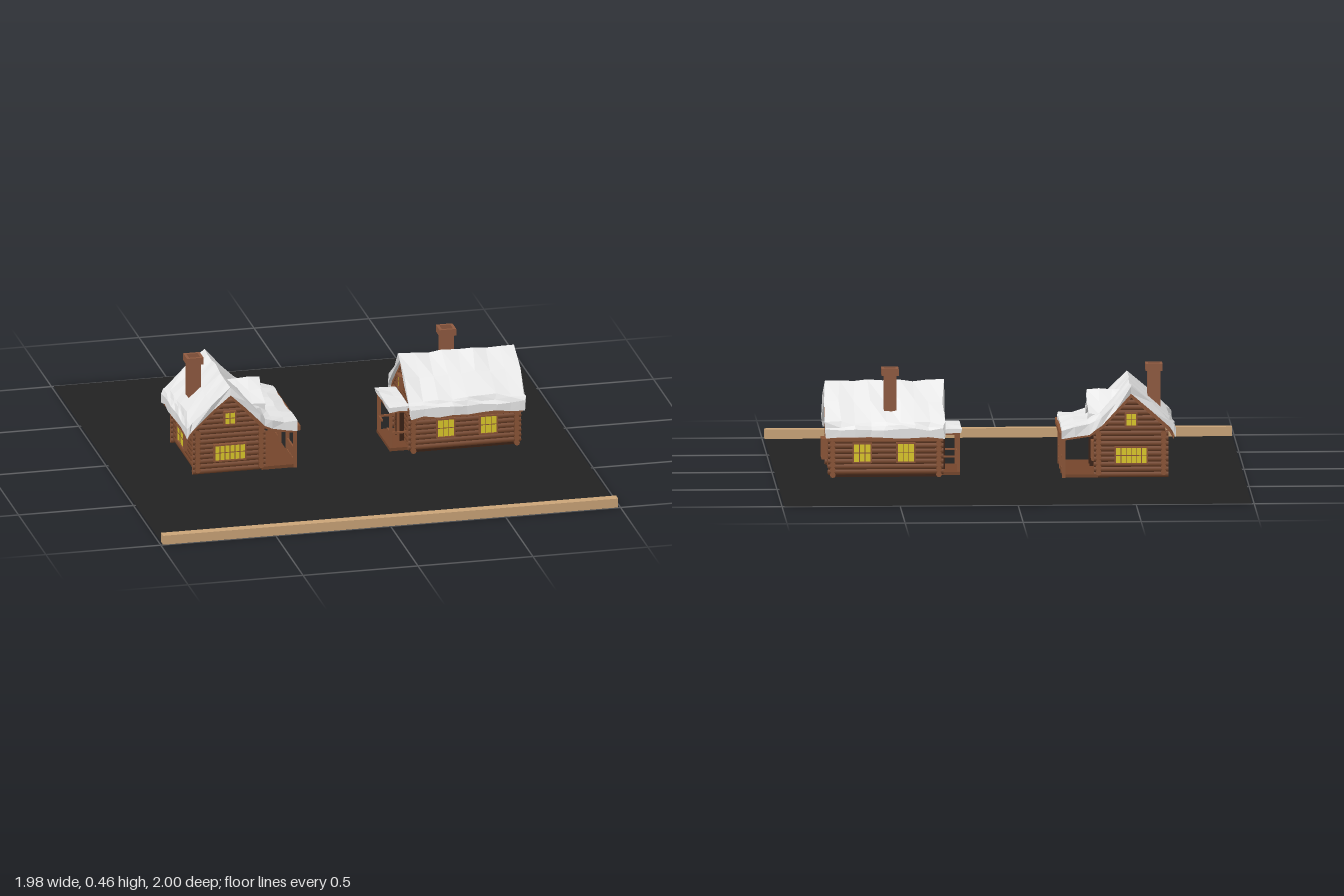
import * as THREE from 'three';

const mat = (name, color) => {
  const m = new THREE.MeshStandardMaterial({ color });
  m.name = name;
  return m;
};

export function createModel() {
  const logWood = mat('logWood', 0x74452b), trim = mat('trimWood', 0x8a5436);
  const chink = mat('darkChinking', 0x3a2115), snow = mat('snow', 0xe9e9e9);
  const glass = mat('litGlass', 0xdcc92a), brick = mat('chimneyBrick', 0x8f5a40);
  const dark = mat('groundDark', 0x222222), tan = mat('tanTimber', 0xcaa478);
  dark.side = THREE.DoubleSide;

  const add = (parent, name, geo, material, x = 0, y = 0, z = 0) => {
    const m = new THREE.Mesh(geo, material);
    m.name = name;
    m.position.set(x, y, z);
    parent.add(m);
    return m;
  };
  const box = (p, name, material, w, h, d, x, y, z) =>
    add(p, name, new THREE.BoxGeometry(w, h, d), material, x, y, z);
  const group = (p, name, x = 0, y = 0, z = 0, ry = 0) => {
    const g = new THREE.Group();
    g.name = name;
    g.position.set(x, y, z);
    g.rotation.y = ry;
    p.add(g);
    return g;
  };
  const noise = (a, b, c) => {
    const s = Math.sin(a * 127.1 + b * 311.7 + c * 74.7) * 43758.5453;
    return s - Math.floor(s) - 0.5;
  };

  // Faceted sheet: a box bent along a profile (x ascending) and swept in z
  const sheet = (profile, thick, z0, z1, bump, segs = 1, sub = 1) => {
    const n = profile.length - 1;
    const g = new THREE.BoxGeometry(1, 1, 1, n * sub, 1, segs);
    const p = g.attributes.position;
    for (let i = 0; i < p.count; i++) {
      const u = Math.round((p.getX(i) + 0.5) * n * sub), v = Math.round((p.getZ(i) + 0.5) * segs);
      const k = Math.min(Math.floor(u / sub), n - 1), f = u / sub - k;
      const [ax, ay] = profile[k], [bx, by] = profile[k + 1];
      const top = p.getY(i) > 0 ? 1 : 0;
      p.setXYZ(i,
        ax + (bx - ax) * f + bump * 0.6 * noise(u, v, 3),
        ay + (by - ay) * f - (top ? 0 : thick) + bump * noise(u, v, top),
        z0 + (z1 - z0) * v / segs + bump * 0.8 * noise(u, v, 7 + top));
    }
    const flat = g.toNonIndexed();
    flat.computeVertexNormals();
    return flat;
  };

  // Horizontal log lying along x or z
  const log = (p, len, along, x, y, z, r = 0.0125) => {
    const g = new THREE.CylinderGeometry(r, r, len, 8);
    if (along === 'x') g.rotateZ(Math.PI / 2);
    else g.rotateX(Math.PI / 2);
    add(p, 'log', g, [logWood, trim, trim], x, y, z);
  };

  // Window facing +z in its own group, with frame and glazing bars
  const windowUnit = (p, w, h, cols, x, y, z, ry = 0, depth = 0.012) => {
    const g = group(p, 'window', x, y, z, ry);
    box(g, 'pane', glass, w, h, 0.008, 0, 0, depth / 2);
    for (const s of [-1, 1]) {
      box(g, 'frameSide', trim, 0.006, h + 0.012, depth + 0.006, s * (w / 2 + 0.003), 0, depth / 2);
      box(g, 'frameRail', trim, w, 0.006, depth + 0.006, 0, s * (h / 2 + 0.003), depth / 2);
    }
    for (let i = 1; i < cols; i++)
      box(g, 'glazingBar', trim, 0.003, h, 0.01, -w / 2 + w * i / cols, 0, depth / 2);
    box(g, 'glazingBar', trim, w, 0.003, 0.01, 0, 0, depth / 2);
  };

  const chimney = (p, x, z) => {
    const g = group(p, 'chimney', x, 0, z);
    box(g, 'stack', brick, 0.054, 0.28, 0.054, 0, 0.29, 0);
    for (const s of [-1, 1]) {
      box(g, 'capSide', brick, 0.012, 0.03, 0.072, s * 0.03, 0.445, 0);
      box(g, 'capEnd', brick, 0.048, 0.03, 0.012, 0, 0.445, s * 0.03);
    }
    box(g, 'flue', dark, 0.048, 0.006, 0.048, 0, 0.435, 0);
  };

  const door = (p, x, z, ry) => {
    const g = group(p, 'door', x, 0, z, ry);
    box(g, 'doorLeaf', trim, 0.07, 0.145, 0.012, 0, 0.0725, 0.008);
    for (const s of [-1, 1]) box(g, 'doorJamb', chink, 0.007, 0.15, 0.018, s * 0.038, 0.075, 0.008);
  };

  // Log walls and gables; ridge runs along z
  const logWalls = (p, hw, hl) => {
    const ix = hw - 0.02, iz = hl - 0.02, g = group(p, 'logWalls');
    const s = new THREE.Shape();
    [[-ix, 0], [ix, 0], [ix, 0.205], [0, 0.35], [-ix, 0.205]].forEach(([x, y], i) =>
      i ? s.lineTo(x, y) : s.moveTo(x, y));
    add(g, 'chinking', new THREE.ExtrudeGeometry(s, { depth: iz * 2, bevelEnabled: false }), chink, 0, 0, -iz);
    for (const side of [-1, 1]) {
      for (let i = 0; i < 9; i++) {
        log(g, hw * 2, 'x', 0, 0.0125 + i * 0.022, side * iz);
        log(g, hl * 2, 'z', side * ix, 0.0125 + i * 0.022 + (i < 8 ? 0.011 : 0), 0);
      }
      for (let y = 0.2105; y < 0.335; y += 0.022)
        log(g, 2 * hw * (0.352 - y) / 0.155, 'x', 0, y, side * iz);
    }
  };

  // Snow layer over thin wooden roof boards
  const roof = (p, profile, z0, z1) => {
    const g = group(p, 'roof');
    add(g, 'roofSnow', sheet(profile, 0.036, z0, z1, 0.014, 8, 2), snow);
    add(g, 'roofBoards', sheet(profile.map(([x, y]) => [x * 0.97, y - 0.033]), 0.016, z0 + 0.01, z1 - 0.01, 0), trim);
  };

  const root = new THREE.Group();
  root.name = 'cabinScene';

  // Ground and front timber
  const ground = new THREE.PlaneGeometry(1.98, 2);
  ground.rotateX(-Math.PI / 2);
  add(root, 'ground', ground, dark, 0, 0.001, 0);
  box(root, 'frontTimber', tan, 1.98, 0.04, 0.04, 0, 0.021, 0.98);

  // Cabin with a long side porch
  const a = group(root, 'porchCabin', -0.512, 0, -0.01);
  logWalls(a, 0.158, 0.22);
  roof(a, [[-0.186, 0.215], [-0.165, 0.25], [0, 0.393], [0.125, 0.262], [0.18, 0.228], [0.294, 0.212]], -0.24, 0.24);
  chimney(a, -0.105, -0.005);
  for (const s of [0, 1]) {
    const ry = s * Math.PI, z = s ? -0.214 : 0.214;
    windowUnit(a, 0.13, 0.065, 6, 0, 0.097, z, ry);
    windowUnit(a, 0.042, 0.05, 2, 0, 0.25, z, ry);
  }
  windowUnit(a, 0.13, 0.065, 6, -0.15, 0.1, 0, -Math.PI / 2);
  windowUnit(a, 0.07, 0.07, 2, 0.15, 0.105, -0.11, Math.PI / 2);
  door(a, 0.15, 0.06, Math.PI / 2);

  // Dormer on the porch slope
  const d = group(a, 'dormer', 0, 0, 0.01, Math.PI / 2);
  add(d, 'dormerSnow', sheet([[-0.088, 0.255], [0, 0.352], [0.088, 0.255]], 0.03, 0.02, 0.178, 0.014, 3, 2), snow);
  add(d, 'dormerBoards', sheet([[-0.08, 0.235], [0, 0.325], [0.08, 0.235]], 0.012, 0.05, 0.168, 0), trim);
  const tri = new THREE.Shape([[-0.07, 0.215], [0.07, 0.215], [0, 0.318]].map(v => new THREE.Vector2(...v)));
  add(d, 'dormerGable', new THREE.ExtrudeGeometry(tri, { depth: 0.1, bevelEnabled: false }), logWood, 0, 0, 0.05);

  // Porch posts, railing and beam
  const porch = group(a, 'porch');
  box(porch, 'porchDeck', logWood, 0.15, 0.014, 0.43, 0.215, 0.009, 0);
  box(porch, 'porchBeam', trim, 0.016, 0.022, 0.47, 0.296, 0.185, 0);
  const posts = [-0.21, -0.07, 0.07, 0.21];
  posts.forEach((z, i) => {
    box(porch, 'porchPost', trim, 0.014, 0.18, 0.014, 0.286, 0.09, z);
    if (i === 3 || i === 1) return;
    for (const y of [0.03, 0.08]) box(porch, 'porchRail', trim, 0.008, 0.008, 0.14, 0.286, y, z + 0.07);
    for (let k = 1; k < 6; k++)
      box(porch, 'baluster', trim, 0.005, 0.05, 0.005, 0.286, 0.055, z + k * 0.0233);
  });

  // Cabin turned sideways, gable toward +x
  const b = group(root, 'sidewaysCabin', 0.525, 0, -0.01, Math.PI / 2);
  logWalls(b, 0.17, 0.245);
  roof(b, [[-0.197, 0.208], [-0.178, 0.24], [0, 0.393], [0.178, 0.24], [0.197, 0.208]], -0.248, 0.255);
  chimney(b, 0.1, -0.02);
  for (const s of [-1, 1])
    for (const z of [-0.085, 0.1])
      windowUnit(b, 0.07, 0.075, 3, s * 0.162, 0.107, z, s * Math.PI / 2);
  windowUnit(b, 0.066, 0.075, 2, 0, 0.105, 0.24, 0, 0.024);
  windowUnit(b, 0.042, 0.05, 2, 0, 0.268, 0.239);
  windowUnit(b, 0.042, 0.05, 2, 0, 0.268, -0.239, Math.PI);
  door(b, 0, -0.238, Math.PI);

  // Small end porch
  const e = group(b, 'endPorch');
  add(e, 'porchSnow', sheet([[-0.124, 0.2], [0, 0.206], [0.129, 0.2]], 0.02, -0.322, -0.22, 0.008, 2, 2), snow);
  box(e, 'porchBoards', trim, 0.24, 0.01, 0.09, 0, 0.178, -0.272);
  box(e, 'porchDeck', logWood, 0.24, 0.014, 0.09, 0, 0.009, -0.272);
  for (const s of [-1, 1]) {
    box(e, 'porchPost', trim, 0.013, 0.18, 0.013, s * 0.108, 0.09, -0.31);
    box(e, 'porchRail', trim, 0.008, 0.008, 0.075, s * 0.108, 0.08, -0.275);
    box(e, 'porchRail', trim, 0.06, 0.008, 0.008, s * 0.08, 0.08, -0.31);
  }
  return root;
}
